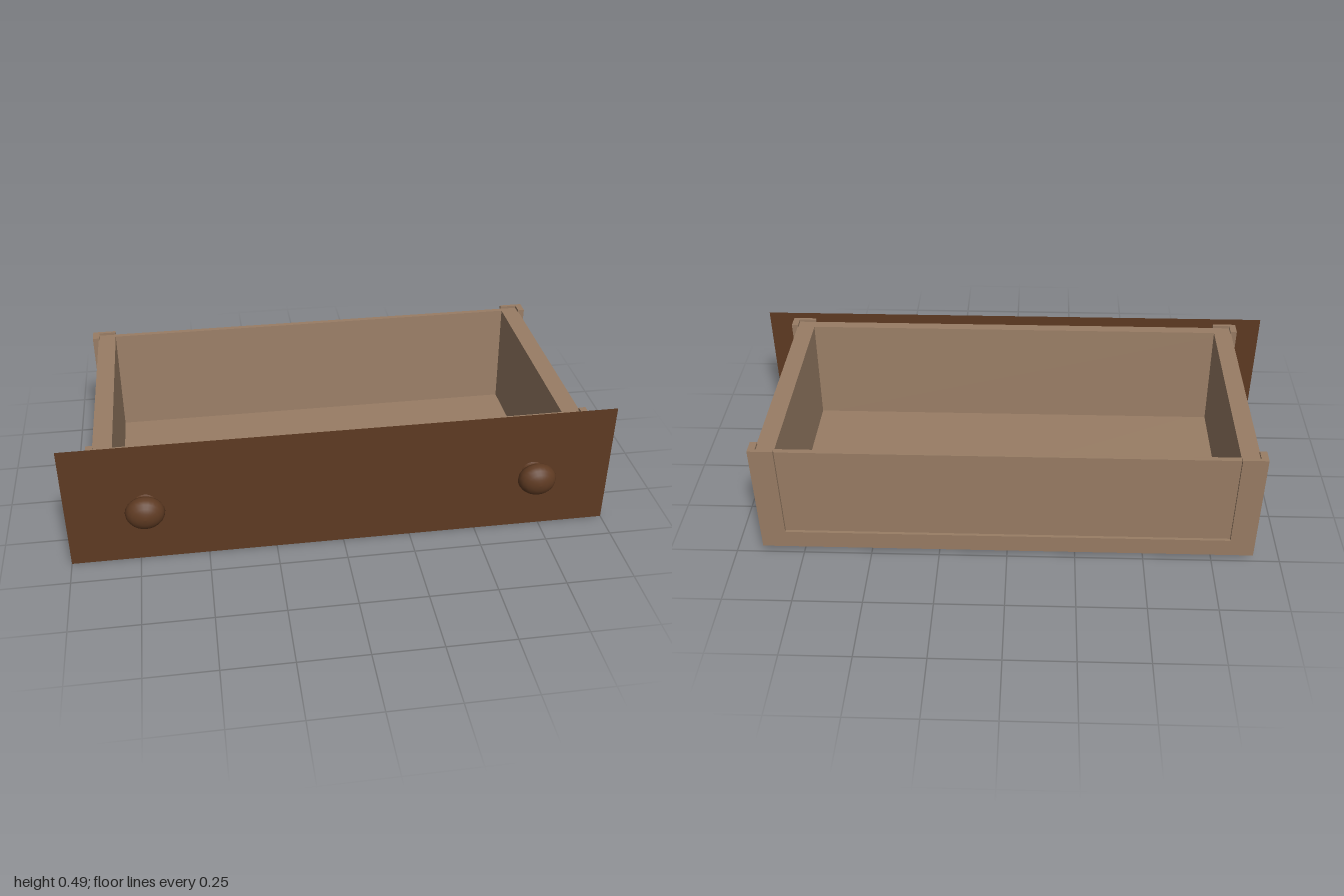
import * as THREE from 'three';

const lightWood = new THREE.MeshStandardMaterial({ color: 0x997d65 });
lightWood.name = 'lightWood';
const darkWood = new THREE.MeshStandardMaterial({ color: 0x5e3a22, side: THREE.DoubleSide });
darkWood.name = 'darkWood';

function polygon(points) {
  return new THREE.Shape(points.map(([x, y]) => new THREE.Vector2(x, y)));
}

function extrude(shape, depth) {
  return new THREE.ExtrudeGeometry(shape, { depth, bevelEnabled: false });
}

// U-shaped frame: two posts joined by a bottom rail
function uFrame(half, post, depth) {
  const inner = half - post;
  return extrude(polygon([
    [-half, 0.03], [half, 0.03], [half, 0.47], [inner, 0.47],
    [inner, 0.1], [-inner, 0.1], [-inner, 0.47], [-half, 0.47],
  ]), depth);
}

export function createModel() {
  const group = new THREE.Group();
  group.name = 'drawer';
  const add = (name, geometry, material, x = 0, y = 0, z = 0) => {
    const mesh = new THREE.Mesh(geometry, material);
    mesh.name = name;
    mesh.position.set(x, y, z);
    group.add(mesh);
    return mesh;
  };

  // Side frames and recessed side walls
  for (const s of [-1, 1]) {
    const side = s > 0 ? 'left' : 'right';
    const frame = uFrame(0.445, 0.055, 0.025);
    frame.rotateY(s * Math.PI / 2);
    add(side + 'Frame', frame, lightWood, s * 0.875, 0, -0.055);
    add(side + 'Wall', new THREE.BoxGeometry(0.068, 0.425, 0.86), lightWood, s * 0.844, 0.2475, -0.055);
  }

  // Front and back frames
  add('backFrame', uFrame(0.899, 0.089, 0.012), lightWood, 0, 0, -0.5);
  add('frontFrame', uFrame(0.899, 0.089, 0.012), lightWood, 0, 0, 0.378);

  // Front and back walls, with inner faces sloping towards the floor
  const backProfile = [[-0.489, 0.035], [-0.44, 0.035], [-0.47, 0.46], [-0.489, 0.46]];
  const frontProfile = [[0.379, 0.035], [0.379, 0.46], [0.34, 0.46], [0.31, 0.035]];
  for (const [name, profile] of [['backWall', backProfile], ['frontWall', frontProfile]]) {
    const wall = extrude(polygon(profile.map(([z, y]) => [-z, y])), 1.75);
    wall.rotateY(Math.PI / 2);
    add(name, wall, lightWood, -0.875);
  }

  // Floor panel inside a shallow bottom rim
  add('floor', new THREE.BoxGeometry(1.7, 0.02, 0.84), lightWood, 0, 0.05, -0.055);
  const rim = polygon([[-0.899, -0.39], [0.899, -0.39], [0.899, 0.499], [-0.899, 0.499]]);
  rim.holes.push(new THREE.Path([[-0.81, -0.32], [-0.81, 0.43], [0.81, 0.43], [0.81, -0.32]]
    .map(([x, y]) => new THREE.Vector2(x, y))));
  const rimGeometry = extrude(rim, 0.012);
  rimGeometry.rotateX(-Math.PI / 2);
  add('bottomRim', rimGeometry, lightWood, 0, 0.0295, 0);

  // Thin front panel
  add('frontPanel', new THREE.PlaneGeometry(2, 0.49), darkWood, 0, 0.247, 0.394);

  // Slightly oval turned knobs
  const profile = [
    [0.036, 0], [0.031, 0.008], [0.03, 0.016], [0.036, 0.024], [0.048, 0.031],
    [0.058, 0.041], [0.0625, 0.054], [0.06, 0.069], [0.053, 0.083],
    [0.041, 0.094], [0.025, 0.102], [0.01, 0.105], [0, 0.106],
  ].map(([r, h]) => new THREE.Vector2(r, h));
  for (const [name, x] of [['rightKnob', -0.715], ['leftKnob', 0.705]]) {
    const knob = new THREE.LatheGeometry(profile, 24);
    knob.rotateX(Math.PI / 2);
    knob.scale(1.13, 1, 1);
    add(name, knob, darkWood, x, 0.25, 0.394);
  }

  return group;
}
